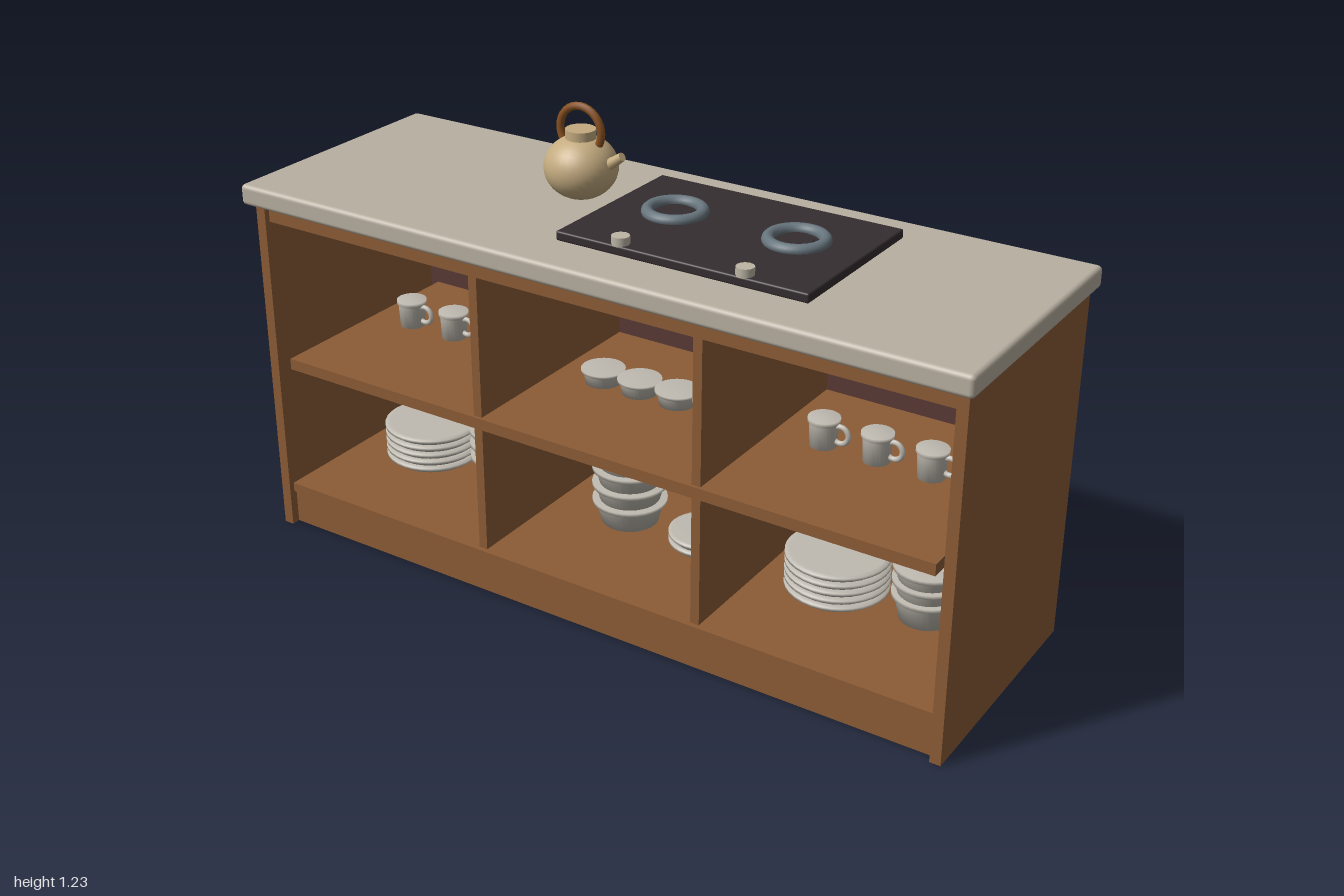
import * as THREE from 'three';
import { RoundedBoxGeometry } from 'three/addons/geometries/RoundedBoxGeometry.js';

const mat = (name, color) => {
  const m = new THREE.MeshStandardMaterial({ color });
  m.name = name;
  return m;
};

export function createModel() {
  const root = new THREE.Group();
  root.name = 'kitchenIsland';
  const wood = mat('wood', 0x8c5c36);
  const darkWood = mat('darkWood', 0x583934);
  const stone = mat('stone', 0xb8afa0);
  const ceramic = mat('ceramic', 0xbfbab0);
  const black = mat('blackGlass', 0x352d30);
  const steel = mat('burnerSteel', 0x66747c);
  const cream = mat('kettleEnamel', 0xc4ab80);
  const handleWood = mat('handleWood', 0x87501f);
  const knobMat = mat('knob', 0xbdb6a6);

  const add = (name, geo, material, x = 0, y = 0, z = 0, parent = root) => {
    const m = new THREE.Mesh(geo, material);
    m.name = name;
    m.position.set(x, y, z);
    parent.add(m);
    return m;
  };
  // Box given by its limits on each axis
  const slab = (name, material, [x0, x1], [y0, y1], [z0, z1], r = 0) => {
    const s = [x1 - x0, y1 - y0, z1 - z0];
    const geo = r ? new RoundedBoxGeometry(...s, 3, r) : new THREE.BoxGeometry(...s);
    return add(name, geo, material, (x0 + x1) / 2, (y0 + y1) / 2, (z0 + z1) / 2);
  };
  const group = (name, x, y, z) => {
    const g = new THREE.Group();
    g.name = name;
    g.position.set(x, y, z);
    root.add(g);
    return g;
  };
  const lathe = (pts, seg = 32) =>
    new THREE.LatheGeometry(pts.map(([r, y]) => new THREE.Vector2(r, y)), seg);

  // Cabinet
  slab('countertop', stone, [-1, 1], [0.925, 0.98], [-0.345, 0.345], 0.012);
  for (const [side, s] of [['left', 1], ['right', -1]]) {
    add(side + 'SidePanel', new THREE.BoxGeometry(0.028, 0.925, 0.645), wood, s * 0.966, 0.4625, -0.0075);
    add(side + 'Divider', new THREE.BoxGeometry(0.024, 0.755, 0.605), wood, s * 0.316, 0.4975, -0.0155);
  }
  slab('backPanel', darkWood, [-0.968, 0.968], [0.003, 0.925], [-0.334, -0.316]);
  slab('topBoard', wood, [-0.952, 0.952], [0.875, 0.925], [-0.316, 0.3]);
  slab('middleShelf', wood, [-0.928, 0.925], [0.465, 0.495], [-0.316, 0.295]);
  slab('bottomShelf', wood, [-0.952, 0.952], [0.095, 0.12], [-0.316, 0.3]);
  slab('toeKick', wood, [-0.952, 0.952], [0, 0.095], [0.27, 0.292]);

  // Cooktop with burners and knobs
  slab('cooktop', black, [-0.12, 0.55], [0.98, 1.004], [-0.24, 0.215], 0.005);
  for (const x of [0.05, 0.38]) {
    const ring = add('burnerRing', new THREE.TorusGeometry(0.067, 0.015, 12, 40), steel, x, 1.009, -0.035);
    ring.rotation.x = Math.PI / 2;
    add('burnerCap', new THREE.CylinderGeometry(0.04, 0.04, 0.008, 28), black, x, 1.007, -0.035);
    add('knob', new THREE.CylinderGeometry(0.022, 0.022, 0.022, 12), knobMat, x, 1.013, 0.196);
  }

  // Kettle
  const kettle = group('kettle', -0.22, 0, -0.033);
  add('kettleBody', new THREE.SphereGeometry(0.092, 32, 20), cream, 0, 1.068, 0, kettle).scale.y = 0.87;
  add('kettleLid', new THREE.CylinderGeometry(0.038, 0.038, 0.04, 24), cream, 0, 1.144, 0, kettle);
  add('kettleHandle', new THREE.TorusGeometry(0.06, 0.01, 10, 32), handleWood, 0, 1.16, 0, kettle);
  const spout = add('kettleSpout', new THREE.CylinderGeometry(0.011, 0.017, 0.08, 16), cream, 0.088, 1.092, 0, kettle);
  spout.rotation.z = -0.95;

  // Mugs on the upper shelf
  const mugGeo = lathe([[0, 0], [0.033, 0], [0.036, 0.06], [0.04, 0.066], [0.04, 0.075], [0, 0.075]], 24);
  const mugHandle = new THREE.TorusGeometry(0.022, 0.007, 8, 20);
  for (const x of [-0.8, -0.657, -0.515, 0.463, 0.605, 0.747]) {
    const mug = group('mug', x, 0.495, -0.05);
    add('mugBody', mugGeo, ceramic, 0, 0, 0, mug);
    add('mugHandle', mugHandle, ceramic, 0.044, 0.038, 0, mug);
  }

  // Row of small bowls
  const smallBowl = lathe([[0, 0], [0.046, 0], [0.05, 0.028], [0.057, 0.033], [0.057, 0.039], [0, 0.039]]);
  for (const x of [-0.17, -0.059, 0.053, 0.163]) add('smallBowl', smallBowl, ceramic, x, 0.495, -0.045);

  // Stacks on the bottom shelf
  const plateStack = (x, r, n, step) => {
    const g = group('plateStack', x, 0.12, -0.045);
    const geo = lathe([[0, 0], [r * 0.88, 0], [r, step * 0.55], [r, step * 0.9], [r * 0.9, step], [0, step]]);
    for (let i = 0; i < n; i++) add('plate', geo, ceramic, 0, i * step, 0, g);
  };
  const bowlStack = (x, r, n, step, h) => {
    const g = group('bowlStack', x, 0.12, -0.045);
    const geo = lathe([[0, 0], [r * 0.76, 0], [r * 0.9, h * 0.8], [r, h * 0.86], [r, h], [0, h]]);
    for (let i = 0; i < n; i++) add('bowl', geo, ceramic, 0, i * step, 0, g);
  };
  plateStack(-0.743, 0.131, 5, 0.021);
  plateStack(0.52, 0.131, 5, 0.021);
  plateStack(0.14, 0.094, 2, 0.02);
  bowlStack(-0.505, 0.086, 3, 0.038, 0.072);
  bowlStack(0.76, 0.086, 3, 0.038, 0.072);
  bowlStack(-0.09, 0.098, 4, 0.048, 0.066);

  return root;
}
